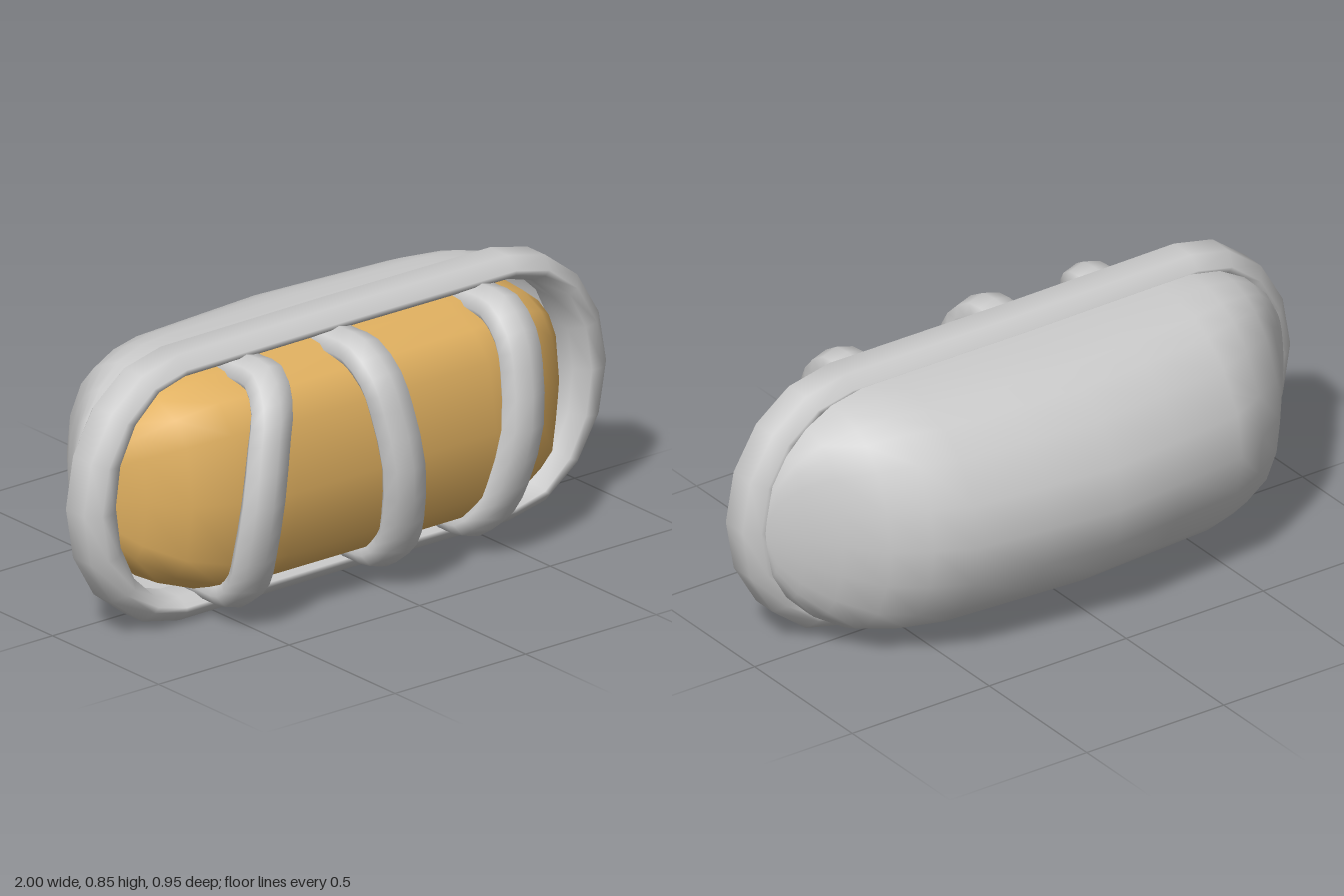
import * as THREE from 'three';
import { mergeVertices } from 'three/addons/utils/BufferGeometryUtils.js';

const CY = 0.425; // height of the long axis

// Smooth surface through equal-length rings; either direction may wrap around.
function loft(rings, { wrapRing = true, wrapPath = false } = {}) {
  const n = rings[0].length, pos = [], idx = [];
  rings.forEach(r => r.forEach(p => pos.push(p.x, p.y, p.z)));
  const rows = wrapPath ? rings.length : rings.length - 1;
  const cols = wrapRing ? n : n - 1;
  for (let i = 0; i < rows; i++) {
    const k = (i + 1) % rings.length;
    for (let j = 0; j < cols; j++) {
      const a = i * n + j, b = i * n + (j + 1) % n, c = k * n + j, d = k * n + (j + 1) % n;
      idx.push(a, c, b, b, c, d);
    }
  }
  let g = new THREE.BufferGeometry();
  g.setAttribute('position', new THREE.Float32BufferAttribute(pos, 3));
  g.setIndex(idx);
  g = mergeVertices(g, 1e-4);
  g.computeVertexNormals();
  return g;
}

// Stadium outline: two eight-sided half rounds joined by straights.
function stadium(hx, hy, z, flat, bow) {
  const pts = [];
  const add = (x, y) => pts.push(new THREE.Vector3(x, CY + y, z - bow * (1 - x * x)));
  for (const s of [1, -1]) {
    for (let i = 0; i <= 8; i++) {
      const a = -Math.PI / 2 + i * Math.PI / 8;
      add(s * (flat + (hx - flat) * Math.cos(a)), s * hy * Math.sin(a));
    }
    add(0, s * hy);
  }
  return pts;
}

// Half barrel lying along x: arched cross-sections [x, depth] bulging to +z or -z
// from a stadium-shaped edge. The profile holds [height, depth] factors, top half only.
function halfBarrel(hy, flat, z0, side, sections, profile) {
  const hx = sections[sections.length - 1][0];
  const lower = profile.slice(0, -1).reverse().map(([v, d]) => [-v, d]);
  const arch = [...profile, ...lower];
  const mirrored = sections.slice(1).reverse().map(([x, d]) => [-x, d]);
  const rings = [...mirrored, ...sections].map(([x, depth]) => {
    const t = Math.max(0, (Math.abs(x) - flat) / (hx - flat));
    const h = hy * Math.sqrt(Math.max(0, 1 - t * t));
    return arch.map(([v, d]) => new THREE.Vector3(x, CY - side * v * h, z0 + side * d * depth));
  });
  // top to bottom at the back, bottom to top at the front
  if (side > 0) rings.forEach(r => r.forEach(p => { p.y = Math.max(p.y, 0); }));
  return loft(rings, { wrapRing: false });
}

function addMesh(parent, name, geometry, color = 0xcccccc) {
  const mesh = new THREE.Mesh(geometry, new THREE.MeshStandardMaterial({ color, side: THREE.DoubleSide }));
  mesh.name = name;
  parent.add(mesh);
}

export function createModel() {
  const model = new THREE.Group();
  model.name = 'wrappedLoaf';

  // Domed back shell
  addMesh(model, 'backShell', halfBarrel(0.387, 0.58, 0.03, -1,
    [[0, 0.505], [0.24, 0.478], [0.48, 0.45], [0.6, 0.388], [0.71, 0.32], [0.8, 0.205], [0.87, 0.11], [0.92, 0.045], [0.95, 0]],
    [[1, 0], [0.995, 0.26], [0.93, 0.45], [0.845, 0.61], [0.66, 0.79], [0.34, 0.95], [0, 1]]));

  // Chamfered rim: inset in x, inset in y, depth
  const rim = [
    [0.04, 0.037, 0.188], [0, 0, 0.148], [0, 0, 0.063], [0.04, 0.037, 0.023],
    [0.085, 0.052, 0.023], [0.125, 0.075, 0.063], [0.125, 0.075, 0.148], [0.085, 0.052, 0.188],
  ];
  addMesh(model, 'rim', loft(
    rim.map(([dx, dy, z]) => stadium(1 - dx, CY - dy, z, 0.63, 0.014)), { wrapPath: true }));

  // Golden filling
  addMesh(model, 'filling', halfBarrel(0.352, 0.5, 0.02, 1,
    [[0, 0.378], [0.38, 0.376], [0.57, 0.338], [0.7, 0.27], [0.79, 0.165], [0.85, 0.06], [0.885, 0]],
    [[1, 0], [0.97, 0.4], [0.84, 0.7], [0.6, 0.9], [0, 1]]), 0xe0b060);

  // Three slanted straps over the filling
  const path = [
    [0.755, 0.08], [0.755, 0.2], [0.753, 0.28], [0.69, 0.36], [0.6, 0.395], [0.425, 0.425],
    [0.25, 0.395], [0.16, 0.355], [0.1, 0.28], [0.095, 0.2], [0.095, 0.08],
  ];
  const straps = new THREE.Group();
  straps.name = 'straps';
  model.add(straps);
  const X = new THREE.Vector3(1, 0, 0);
  // x at top, middle and bottom, then forward reach
  [[-0.4, -0.512, -0.505, 0.91], [-0.045, 0, 0.035, 1], [0.5, 0.475, 0.4, 0.92]].forEach(([top, mid, low, reach], s) => {
    const curve = new THREE.CatmullRomCurve3(path.map(([y, z]) => {
      const t = (0.755 - y) / 0.66;
      const x = top * (1 - t) * (1 - 2 * t) + mid * 4 * t * (1 - t) + low * t * (2 * t - 1);
      return new THREE.Vector3(x, y, 0.08 + (z - 0.08) * reach);
    }));
    const rings = [];
    for (let i = 0; i <= 20; i++) {
      const c = curve.getPoint(i / 20);
      const out = curve.getTangent(i / 20).setX(0).normalize().cross(X);
      rings.push(Array.from({ length: 8 }, (_, j) => {
        const a = j * Math.PI / 4;
        return c.clone().addScaledVector(out, 0.05 * Math.cos(a)).addScaledVector(X, 0.078 * Math.sin(a));
      }));
    }
    addMesh(straps, ['rightStrap', 'middleStrap', 'leftStrap'][s], loft(rings));
  });

  return model;
}
